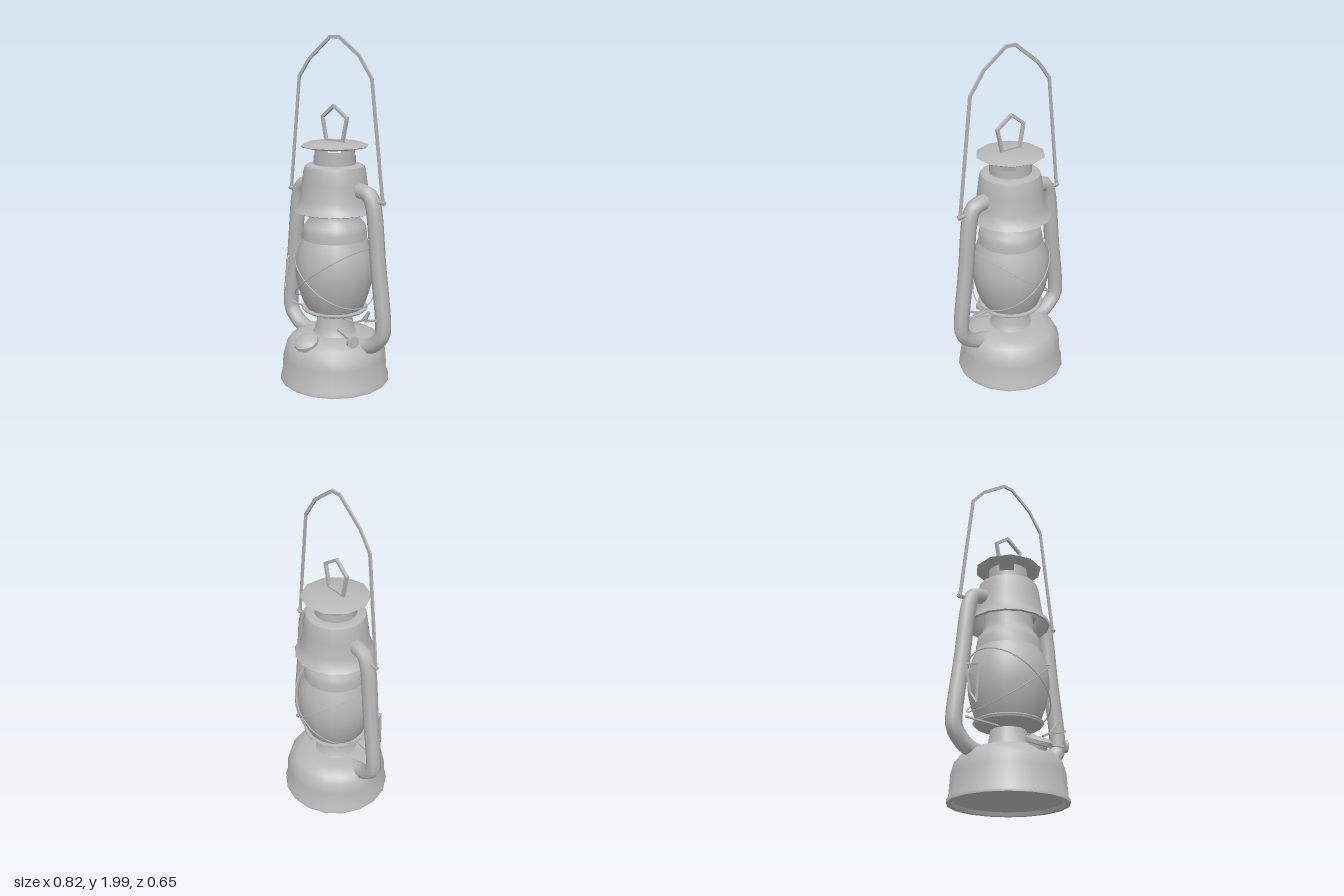
import * as THREE from 'three';
import { toCreasedNormals } from 'three/addons/utils/BufferGeometryUtils.js';

export function createModel() {
  const lantern = new THREE.Group();
  lantern.name = 'lantern';
  const metal = new THREE.MeshStandardMaterial({ color: 0xb8b8b8, side: THREE.DoubleSide });
  metal.name = 'grey metal';

  const V = (p) => new THREE.Vector3(...p);
  const add = (name, geometry, parent = lantern) => {
    const mesh = new THREE.Mesh(geometry, metal);
    mesh.name = name;
    parent.add(mesh);
    return mesh;
  };
  const group = (name) => {
    const g = new THREE.Group();
    g.name = name;
    lantern.add(g);
    return g;
  };
  // Turned part from [radius, height] pairs
  const turned = (name, profile, sides = 16, parent = lantern) => {
    const points = profile.map(([r, y]) => new THREE.Vector2(r, y));
    return add(name, toCreasedNormals(new THREE.LatheGeometry(points, sides), 0.75), parent);
  };
  // Chain of flat strips through points: wide = in plane, thin = across it
  const strips = (name, points, wide, thin) => {
    const g = group(name);
    for (let i = 0; i < points.length - 1; i++) {
      const a = V(points[i]), b = V(points[i + 1]);
      const strip = add(name + 'Strip', new THREE.BoxGeometry(thin, wide, a.distanceTo(b) + wide * 0.4), g);
      strip.position.copy(a).lerp(b, 0.5);
      strip.lookAt(b);
    }
    return g;
  };
  const tube = (name, points, radius, sides = 8, steps = 28, closed = false) =>
    add(name, new THREE.TubeGeometry(
      new THREE.CatmullRomCurve3(points.map(V), closed, 'centripetal'), steps, radius, sides, closed));

  // Fuel tank and burner
  turned('fuelTank', [[0, 0.03], [0.29, 0.02], [0.3, 0], [0.325, 0], [0.325, 0.015], [0.315, 0.03],
    [0.307, 0.15], [0.29, 0.21], [0.26, 0.25], [0.21, 0.277], [0.13, 0.285], [0, 0.285]], 18);
  turned('burner', [[0.14, 0.27], [0.125, 0.29], [0.11, 0.33], [0.1, 0.395], [0.15, 0.41],
    [0.185, 0.425], [0.19, 0.44], [0.165, 0.44]]);

  // Glass globe and its collar
  turned('globe', [[0.165, 0.435], [0.18, 0.46], [0.205, 0.53], [0.225, 0.61], [0.23, 0.68],
    [0.223, 0.75], [0.205, 0.81], [0.185, 0.86]]);
  turned('globeCollar', [[0.188, 0.855], [0.185, 0.9], [0.177, 0.935], [0.15, 0.965],
    [0.142, 1.0], [0.14, 1.1]]);

  // Hood, vented chimney and cap
  turned('hood', [[0.225, 1.015], [0.237, 1.02], [0.215, 1.045], [0.2, 1.09], [0.187, 1.18],
    [0.177, 1.255], [0.17, 1.275], [0.15, 1.285], [0.115, 1.285]]);
  turned('chimney', [[0.12, 1.28], [0.12, 1.33]]);
  const posts = group('chimneyPosts');
  for (let i = 0; i < 4; i++) {
    add('chimneyPost', new THREE.CylinderGeometry(0.12, 0.12, 0.05, 3, 1, true,
      i * Math.PI / 2 - 0.42, 0.84), posts).position.y = 1.352;
  }
  turned('cap', [[0, 1.37], [0.13, 1.372], [0.185, 1.382], [0.196, 1.388], [0.15, 1.408], [0, 1.413]], 10);

  // Five-sided lifting ring
  const ring = [[0.06, 1.415, 0], [0.09, 1.545, 0], [-0.008, 1.61, 0], [-0.092, 1.545, 0], [-0.065, 1.415, 0]];
  strips('capRing', [...ring, ring[0]], 0.016, 0.018);

  // Hollow side frames
  for (const s of [-1, 1]) {
    const path = [[0.14, 1.15, 0], [0.215, 1.148, 0], [0.258, 1.133, 0], [0.283, 1.085, 0], [0.325, 0.74, 0],
      [0.366, 0.4, 0], [0.36, 0.345, 0], [0.325, 0.298, 0], [0.27, 0.258, 0], [0.15, 0.235, 0]];
    tube(s < 0 ? 'rightSideTube' : 'leftSideTube', path.map(([x, y, z]) => [s * x, y, z]), 0.045, 8, 40);
    // Pivot tabs for the bail
    const tab = add('bailPivot', new THREE.CylinderGeometry(0.012, 0.012, 0.08, 6));
    tab.rotation.z = Math.PI / 2;
    tab.position.set(s * 0.325, 1.105, 0);
  }

  // Carrying bail
  strips('bail', [[-0.352, 1.095, 0], [-0.275, 1.765, 0], [-0.195, 1.865, 0], [-0.035, 1.985, 0],
    [0.03, 1.985, 0], [0.175, 1.885, 0], [0.265, 1.765, 0], [0.352, 1.09, 0]], 0.018, 0.01);

  // Crossed guard wires around the globe
  for (const s of [-1, 1]) {
    const loop = [];
    for (let i = 0; i < 16; i++) {
      const a = i * Math.PI / 8;
      loop.push([s * 0.215 * Math.cos(a), 0.645 + 0.17 * Math.cos(a), 0.25 * Math.sin(a)]);
    }
    tube('guardWire', loop, 0.004, 4, 40, true);
  }
  const guardRing = add('guardRing', new THREE.TorusGeometry(0.19, 0.006, 4, 18));
  guardRing.rotation.x = Math.PI / 2;
  guardRing.position.y = 0.437;

  // Tilted filler cap with a stepped lid
  const filler = group('fillerCap');
  turned('fillerLid', [[0.05, -0.04], [0.05, -0.01], [0.072, -0.005], [0.072, 0.015], [0.05, 0.032], [0, 0.035]], 10, filler);
  filler.position.set(0, 0.277, 0.24);
  filler.rotation.x = 0.4;

  // Wick shaft and knob
  const shaftEnd = [0.275, 0.33, 0.155];
  strips('wickShaft', [[0.07, 0.33, 0.06], shaftEnd], 0.012, 0.012);
  const knob = add('wickKnob', new THREE.CylinderGeometry(0.036, 0.036, 0.018, 8));
  knob.position.copy(V(shaftEnd));
  knob.quaternion.setFromUnitVectors(new THREE.Vector3(0, 1, 0), new THREE.Vector3(0.9, 0, 0.43).normalize());

  // Globe lift lever, cross rod and retaining spring
  strips('liftLever', [[-0.335, 0.69, 0.045], [-0.295, 0.685, 0.1], [-0.3, 0.47, 0.1], [-0.325, 0.52, 0.08],
    [-0.335, 0.69, 0.045]], 0.01, 0.01);
  strips('crossRod', [[-0.32, 0.402, 0.04], [0.23, 0.39, 0.04]], 0.009, 0.009);
  strips('retainingSpring', [[0.2, 0.395, 0.06], [0.265, 0.43, 0.06], [0.31, 0.49, 0.06], [0.285, 0.43, 0.06],
    [0.365, 0.455, 0.065]], 0.012, 0.012);

  return lantern;
}
